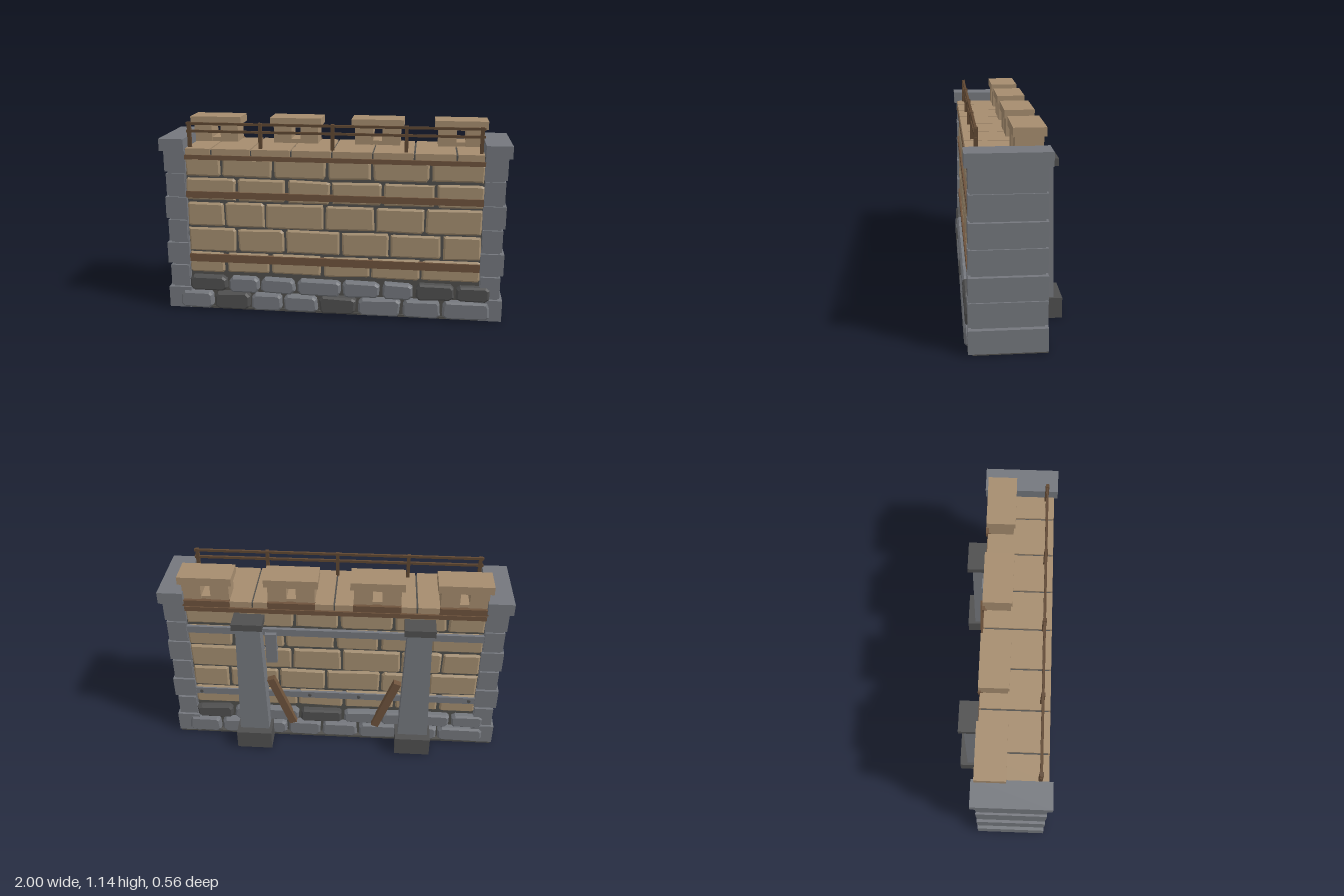
import * as THREE from 'three';

const mat = (name, color) => {
  const m = new THREE.MeshStandardMaterial({ color });
  m.name = name;
  return m;
};

export function createModel() {
  const tan = mat('sandstone', 0xa48e70);
  const capTan = mat('copingStone', 0xa58c6e);
  const grey = mat('greyStone', 0x74777d);
  const dark = mat('darkStone', 0x4f4f4f);
  const mortar = mat('mortar', 0x504f4c);
  const wood = mat('timber', 0x6e533c);
  const rail = mat('railWood', 0x5f4732);

  const model = new THREE.Group();
  model.name = 'wallSegment';

  // Seeded random for the small irregularities of the stones
  let seed = 7;
  const rnd = () => ((seed = (seed * 16807) % 2147483647) / 2147483647) - 0.5;

  const add = (name, geometry, material, parent = model) => {
    const m = new THREE.Mesh(geometry, material);
    m.name = name;
    parent.add(m);
    return m;
  };
  // Box given by its limits on each axis
  const box = (name, material, x0, x1, y0, y1, z0, z1, parent = model) => {
    const m = add(name, new THREE.BoxGeometry(x1 - x0, y1 - y0, z1 - z0), material, parent);
    m.position.set((x0 + x1) / 2, (y0 + y1) / 2, (z0 + z1) / 2);
    return m;
  };
  const group = (name) => {
    const g = new THREE.Group();
    g.name = name;
    model.add(g);
    return g;
  };

  // Stone with clipped corners and bevelled faces
  const stone = (name, material, x0, x1, y0, y1, z0, z1, clip, parent) => {
    const b = 0.011, j = () => rnd() * 0.008;
    const l = x0 + b, r = x1 - b, d = y0 + b, u = y1 - b;
    const pts = [
      [l + clip, d], [r - clip, d], [r, d + clip], [r, u - clip],
      [r - clip, u], [l + clip, u], [l, u - clip], [l, d + clip],
    ].map(([x, y]) => new THREE.Vector2(x + j(), y + j()));
    const geo = new THREE.ExtrudeGeometry(new THREE.Shape(pts), {
      depth: z1 - z0 - 2 * b, bevelThickness: b, bevelSize: b, bevelSegments: 1,
    });
    geo.translate(0, 0, z0 + b);
    add(name, geo, material, parent);
  };

  // Core and footing
  box('mortarCore', mortar, -0.9, 0.9, 0.005, 0.955, -0.114, 0.229);
  box('footing', mortar, -0.985, 0.985, 0, 0.014, -0.145, 0.238);

  // Foundation stones: joints of each row, and the indices of the dark ones;
  // the back face repeats the rows turned round
  const base = group('foundationStones');
  const baseRows = [
    { y: [0.014, 0.117], front: 0.278, back: -0.157, darks: [1, 4], backDarks: [],
      x: [-0.925, -0.715, -0.49, -0.295, -0.08, 0.15, 0.41, 0.645, 0.93] },
    { y: [0.123, 0.216], front: 0.272, back: -0.153, darks: [0, 6, 7], backDarks: [0, 3],
      x: [-0.865, -0.628, -0.433, -0.215, 0.057, 0.29, 0.485, 0.72, 0.925] },
  ];
  for (const { y, x, front, back, darks, backDarks } of baseRows) {
    for (let i = 0; i < x.length - 1; i++) {
      const a = x[i] + 0.008, b = x[i + 1] - 0.008;
      stone('frontFoundationStone', darks.includes(i) ? dark : grey,
        a, b, y[0], y[1], 0.1, front, 0.014, base);
      stone('backFoundationStone', backDarks.includes(i) ? dark : grey,
        -b, -a, y[0], y[1], back, 0, 0.014, base);
    }
  }

  // Sandstone courses, each block running through the wall
  const courses = group('sandstoneCourses');
  const rows = [
    { y: [0.236, 0.358], x: [-0.865, -0.64, -0.37, -0.06, 0.225, 0.52, 0.865] },
    { y: [0.369, 0.511], x: [-0.865, -0.567, -0.28, 0.053, 0.337, 0.635, 0.865] },
    { y: [0.521, 0.668], x: [-0.865, -0.635, -0.395, -0.043, 0.25, 0.535, 0.865] },
    { y: [0.68, 0.812], x: [-0.865, -0.56, -0.265, -0.005, 0.29, 0.592, 0.865] },
    { y: [0.826, 0.935], x: [-0.865, -0.645, -0.343, -0.03, 0.23, 0.557, 0.865] },
  ];
  for (const { y, x } of rows) {
    for (let i = 0; i < x.length - 1; i++) {
      stone('sandstoneBlock', tan, x[i] + 0.007, x[i + 1] - 0.007, y[0], y[1],
        -0.128 + rnd() * 0.004, 0.243 + rnd() * 0.005, 0.005, courses);
    }
  }

  // Coping slabs along the walkway
  const coping = group('copingSlabs');
  const joints = [-0.855, -0.7, -0.467, -0.235, 0, 0.232, 0.465, 0.7, 0.855];
  for (let i = 0; i < joints.length - 1; i++) {
    box('copingSlab', capTan, joints[i] + 0.005, joints[i + 1] - 0.005, 0.953, 0.99, -0.132, 0.25, coping);
  }
  box('copingBed', mortar, -0.86, 0.86, 0.94, 0.98, -0.122, 0.24, coping);

  // End piers: seven stacked blocks and a cap on each side
  for (const s of [-1, 1]) {
    const pier = group(s > 0 ? 'leftPier' : 'rightPier');
    const sideBox = (name, a, b, ...rest) =>
      box(name, grey, Math.min(s * a, s * b), Math.max(s * a, s * b), ...rest, pier);
    sideBox('pierCore', 0.858, 0.965, 0.012, 0.98, -0.128, 0.243);
    for (let i = 0; i < 7; i++) {
      const y = 0.01 + i * 0.14, t = i * 0.0018;
      sideBox('pierBlock', i % 2 ? 0.862 : 0.855, i % 2 ? 0.974 : 0.992 - t,
        y, y + 0.128, -0.146 + t, 0.262 - t);
    }
    sideBox('pierCap', 0.855, 1, 0.975, 1.046, -0.156, 0.27);
  }

  // Merlons: two posts with an arrow slit, under a wide cap
  for (const c of [-0.7275, -0.2425, 0.2425, 0.7275]) {
    const m = group('merlon');
    for (const s of [-1, 1]) {
      const x = c + s * 0.08;
      box('merlonPost', capTan, x - 0.053, x + 0.053, 0.985, 1.095, -0.125, 0.018, m);
    }
    box('merlonSill', capTan, c - 0.05, c + 0.05, 0.985, 1.014, -0.12, 0.013, m);
    box('merlonLintel', capTan, c - 0.05, c + 0.05, 1.084, 1.096, -0.125, 0.018, m);
    box('merlonCap', capTan, c - 0.153, c + 0.153, 1.094, 1.14, -0.137, 0.028, m);
    box('merlonBoard', wood, c - 0.135, c + 0.135, 0.957, 0.996, -0.144, -0.115, m);
  }

  // Timber beams on the front, and one high on the back
  for (const [y0, y1] of [[0.303, 0.35], [0.697, 0.736], [0.925, 0.952]]) {
    box('frontBeam', wood, -0.858, 0.858, y0, y1, 0.22, 0.252);
  }
  box('backBeam', wood, -0.858, 0.858, 0.92, 0.948, -0.137, -0.11);

  // Grey rails on the back, with bolts on the lower one
  for (const y of [0.33, 0.79]) {
    box('backRail', grey, -0.858, 0.858, y - 0.022, y + 0.022, -0.137, -0.11);
  }
  for (const x of [-0.82, -0.15, 0.15, 0.82]) {
    const bolt = add('bolt', new THREE.CylinderGeometry(0.011, 0.011, 0.014, 8), dark);
    bolt.rotation.x = Math.PI / 2;
    bolt.position.set(x, 0.33, -0.137);
  }
  box('wallPlate', grey, 0.335, 0.4, 0.59, 0.79, -0.163, -0.11);

  // Back buttresses with tapered shafts, and leaning timber braces
  for (const s of [-1, 1]) {
    const b = group(s > 0 ? 'leftButtress' : 'rightButtress');
    const c = s * 0.488;
    box('buttressBase', dark, c - 0.107, c + 0.107, 0.003, 0.122, -0.277, -0.12, b);
    const shaft = new THREE.BoxGeometry(1, 0.752, 1);
    const p = shaft.attributes.position;
    for (let i = 0; i < p.count; i++) {
      const top = p.getY(i) > 0;
      p.setX(i, Math.sign(p.getX(i)) * (top ? 0.07 : 0.09));
      p.setZ(i, p.getZ(i) > 0 ? -0.11 : top ? -0.218 : -0.23);
    }
    shaft.computeVertexNormals();
    add('buttressShaft', shaft, grey, b).position.set(c, 0.496, 0);
    box('buttressCap', dark, c - 0.088, c + 0.088, 0.869, 0.91, -0.246, -0.11, b);
    const brace = add('brace', new THREE.BoxGeometry(0.046, 0.36, 0.04), wood, b);
    brace.position.set(s * 0.316, 0.305, -0.163);
    brace.rotation.z = -s * 0.36;
  }

  // Walkway railing
  const railing = group('railing');
  for (let i = -2; i <= 2; i++) {
    const x = i * 0.417;
    box('railingPost', rail, x - 0.01, x + 0.01, 0.985, 1.137, 0.194, 0.215, railing);
  }
  for (const y of [1.083, 1.127]) {
    box('railingBar', rail, -0.852, 0.852, y - 0.007, y + 0.007, 0.198, 0.211, railing);
  }

  return model;
}
